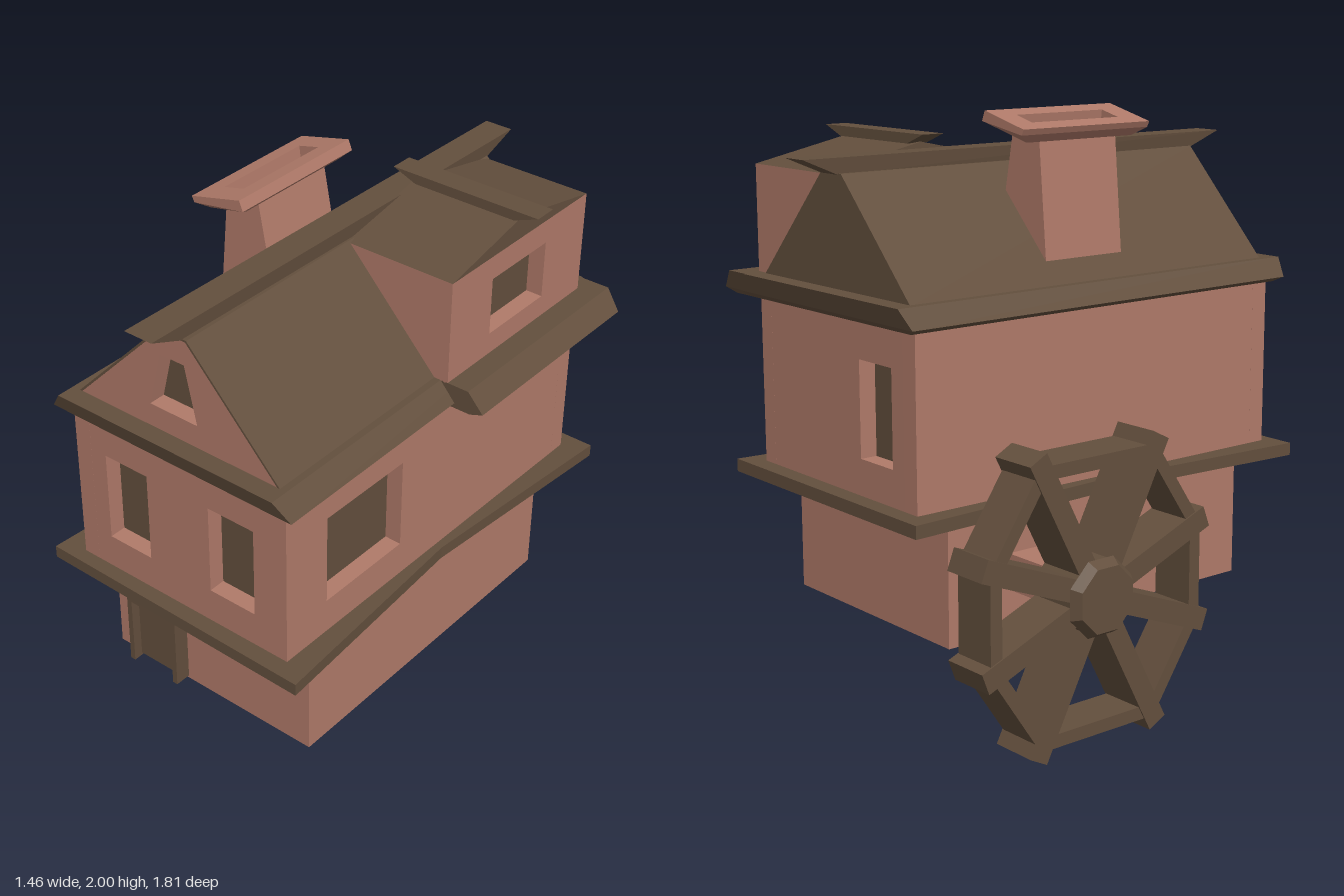
import * as THREE from 'three';

const clay = new THREE.MeshStandardMaterial({ color: 0xb07a69 });
clay.name = 'clay';
const wood = new THREE.MeshStandardMaterial({ color: 0x634f3d });
wood.name = 'wood';

function add(parent, name, geometry, material) {
  const mesh = new THREE.Mesh(geometry, material);
  mesh.name = name;
  parent.add(mesh);
  return mesh;
}

// Flat-faced solid through stacked rings of [x, y, z] points, capped at both ends
function loft(rings) {
  const pos = [];
  const tri = (a, b, c) => pos.push(...a, ...b, ...c);
  const mid = (r) => [0, 1, 2].map((k) => r.reduce((s, p) => s + p[k], 0) / r.length);
  const n = rings[0].length, top = rings[rings.length - 1];
  const c0 = mid(rings[0]), c1 = mid(top);
  for (let i = 0; i < n; i++) {
    const j = (i + 1) % n;
    for (let k = 0; k + 1 < rings.length; k++) {
      const [a, b, c, d] = [rings[k][i], rings[k][j], rings[k + 1][j], rings[k + 1][i]];
      tri(a, b, c);
      tri(a, c, d);
    }
    tri(c0, rings[0][j], rings[0][i]);
    tri(c1, top[i], top[j]);
  }
  const g = new THREE.BufferGeometry();
  g.setAttribute('position', new THREE.Float32BufferAttribute(pos, 3));
  g.computeVertexNormals();
  return g;
}

// Rectangular ring; yl and yr are the heights of its left and right edges
const rect = (x0, x1, z0, z1, yl, yr = yl) =>
  [[x0, yl, z1], [x1, yr, z1], [x1, yr, z0], [x0, yl, z0]];
const plan = (pts, y) => pts.map(([x, z]) => [x, y, z]);
const poly = (pts) => new THREE.Shape(pts.map(([x, y]) => new THREE.Vector2(x, y)));
const extrude = (shape, depth) =>
  new THREE.ExtrudeGeometry(shape, { depth, bevelEnabled: false });
const box = (x0, x1, y0, y1, z0, z1) => new THREE.BoxGeometry(x1 - x0, y1 - y0, z1 - z0)
  .translate((x0 + x1) / 2, (y0 + y1) / 2, (z0 + z1) / 2);
const hole = (u0, u1, y0, y1) => [[u0, y0], [u1, y0], [u1, y1], [u0, y1]];

// Wall from plan point a to b (left to right seen from outside) with recessed windows
function wall(parent, name, a, b, outline, holes = []) {
  const depth = 0.065;
  const g = new THREE.Group();
  g.name = name;
  g.position.set(a[0], 0, a[1]);
  g.rotation.y = Math.atan2(a[1] - b[1], b[0] - a[0]);
  const shape = poly(outline);
  holes.forEach((h) => shape.holes.push(new THREE.Path(poly(h).getPoints())));
  add(g, 'wallPanel', extrude(shape, depth).translate(0, 0, -depth), clay);
  holes.forEach((h) => add(g, 'windowPane', extrude(poly(h), 0.008).translate(0, 0, -depth - 0.004), wood));
  parent.add(g);
}

function buildWheel() {
  const wheel = new THREE.Group();
  wheel.name = 'waterWheel';
  wheel.position.set(-0.615, 0.51, -0.333);
  const bar = (name, p, q, width, thick) => {
    const dz = q[0] - p[0], dy = q[1] - p[1];
    const m = add(wheel, name, new THREE.BoxGeometry(width, thick, Math.hypot(dz, dy)), wood);
    m.position.set(0, (p[1] + q[1]) / 2, (p[0] + q[0]) / 2);
    m.rotation.x = -Math.atan2(dy, dz);
  };
  const tips = [[0.465, 0.18], [0.255, 0.49], [-0.255, 0.49], [-0.465, 0.18],
    [-0.465, -0.18], [-0.255, -0.49], [0.255, -0.49], [0.465, -0.18]];
  tips.forEach((p, i) => {
    const q = tips[(i + 1) % 8];
    bar('spoke', [0, 0], p, 0.17, 0.075);
    bar('rim', p.map((v) => v * 0.9), q.map((v) => v * 0.9), 0.16, 0.045);
  });
  // Octagonal hub, stacked along its axle
  const ring = (x, r) => Array.from({ length: 8 }, (_, i) => {
    const t = (i + 0.5) * Math.PI / 4;
    return [r * Math.cos(t), -x - 0.615, -r * Math.sin(t)];
  });
  add(wheel, 'hub', loft([ring(-0.49, 0.07), ring(-0.53, 0.138), ring(-0.70, 0.138),
    ring(-0.735, 0.115)]).rotateZ(Math.PI / 2), wood);
  return wheel;
}

export function createModel() {
  const model = new THREE.Group();
  model.name = 'millHouse';

  // Ground floor with its dark underside
  const low = [[-0.32, 0.65], [0.54, 0.65], [0.55, -0.64], [-0.315, -0.645]];
  add(model, 'groundFloor', loft([plan(low, 0.3), plan(low, 0.74)]), clay);
  const r = 0.25, bx = 0.41, bz = 0.62, base = new THREE.Shape();
  [[1, 1, 0], [-1, 1, 1], [-1, -1, 2], [1, -1, 3]].forEach(([sx, sz, q]) =>
    base.absarc(sx * (bx - r), sz * (bz - r), r, q * Math.PI / 2, (q + 1) * Math.PI / 2));
  add(model, 'underside', extrude(base, 0.006).rotateX(Math.PI / 2).translate(0.113, 0.302, 0), wood);

  // Door
  const frame = poly([[-0.22, 0.31], [-0.2, 0.31], [-0.2, 0.575], [-0.02, 0.575],
    [-0.02, 0.31], [0, 0.31], [0, 0.6], [-0.22, 0.6]]);
  add(model, 'doorFrame', extrude(frame, 0.07).translate(0, 0, 0.64), wood);
  add(model, 'door', box(-0.205, -0.015, 0.32, 0.58, 0.64, 0.675), wood);

  // Waisted ledge between the floors
  const ledge = [[-0.43, 0.825], [0.64, 0.84], [0.59, 0], [0.66, -0.83], [-0.41, -0.84], [-0.37, 0]];
  add(model, 'ledge', loft([plan(ledge, 0.73), plan(ledge, 0.775)]), wood);

  // Upper floor walls
  const up = [[-0.335, 0.775], [0.552, 0.775], [0.572, -0.765], [-0.33, -0.775]];
  const windows = [
    [hole(0.13, 0.31, 0.9, 1.23), hole(0.57, 0.755, 0.9, 1.23)],
    [hole(0.195, 0.575, 0.9, 1.23)],
    [hole(0.592, 0.772, 0.9, 1.23)],
    [],
  ];
  ['frontWall', 'rightWall', 'backWall', 'leftWall'].forEach((name, i) => {
    const a = up[i], b = up[(i + 1) % 4];
    const len = Math.hypot(b[0] - a[0], b[1] - a[1]);
    wall(model, name, a, b, hole(0, len, 0.77, 1.37), windows[i]);
  });

  // Eaves
  add(model, 'eaves', loft([rect(-0.345, 0.58, -0.8, 0.8, 1.36),
    rect(-0.38, 0.61, -0.82, 0.82, 1.378), rect(-0.333, 0.552, -0.84, 0.84, 1.443)]), wood);
  add(model, 'dormerEaves', loft([rect(0.3, 0.67, -0.8, 0, 1.36),
    rect(0.3, 0.72, -0.815, 0, 1.378), rect(0.3, 0.66, -0.835, 0, 1.443)]), wood);

  // Roof shell, gables and ridge
  const inner = [[-0.295, 1.44], [0.52, 1.44], [0.167, 1.81], [0.063, 1.81]];
  const shell = poly([[-0.305, 1.44], [-0.295, 1.44], [0.063, 1.81], [0.167, 1.81],
    [0.52, 1.44], [0.53, 1.44], [0.171, 1.817], [0.059, 1.817]]);
  add(model, 'roof', extrude(shell, 1.545).translate(0, 0, -0.772), wood);
  wall(model, 'frontGable', [0, 0.772], [1, 0.772], inner,
    [[[0.008, 1.525], [0.202, 1.525], [0.157, 1.725], [0.058, 1.725]]]);
  add(model, 'backGable', extrude(poly(inner), 0.02).translate(0, 0, -0.772), wood);
  add(model, 'ridgeBeam', loft([
    plan([[0.06, 0.77], [0.155, 0.77], [0.17, -0.77], [0.075, -0.77]], 1.812),
    plan([[0.05, 0.905], [0.158, 0.905], [0.176, -0.905], [0.072, -0.905]], 1.868)]), wood);

  // Dormer
  const dormer = new THREE.Group();
  dormer.name = 'dormer';
  model.add(dormer);
  add(dormer, 'dormerBody', box(0.165, 0.515, 1.44, 1.81, -0.765, 0), clay);
  wall(dormer, 'dormerWall', [0.58, 0], [0.58, -0.765], hole(0, 0.765, 1.44, 1.81),
    [hole(0.225, 0.53, 1.52, 1.725)]);
  add(dormer, 'dormerRoof', loft([rect(0.16, 0.58, -0.765, 0, 1.81),
    rect(0.16, 0.58, -0.381, -0.379, 1.89)]), wood);
  add(dormer, 'dormerRidge', loft([rect(0.18, 0.57, -0.425, -0.34, 1.885),
    rect(0.09, 0.66, -0.425, -0.34, 1.92)]), wood);

  // Leaning chimney with a hollow cap
  add(model, 'chimneyStack', loft([rect(-0.24, 0.03, -0.168, 0.165, 1.45),
    rect(-0.2, -0.068, -0.168, 0.165, 1.91, 1.95)]), clay);
  add(model, 'chimneyCap', loft([rect(-0.21, -0.06, -0.23, 0.23, 1.903, 1.94),
    rect(-0.24, -0.035, -0.275, 0.275, 1.93, 1.965), rect(-0.25, -0.05, -0.275, 0.275, 1.95, 2),
    rect(-0.19, -0.11, -0.19, 0.185, 1.965, 1.985),
    rect(-0.185, -0.105, -0.19, 0.185, 1.925, 1.945)]), clay);

  // Water wheel on its axle
  add(model, 'axle', box(-0.5, -0.31, 0.45, 0.575, -0.395, -0.265), clay);
  model.add(buildWheel());
  return model;
}
